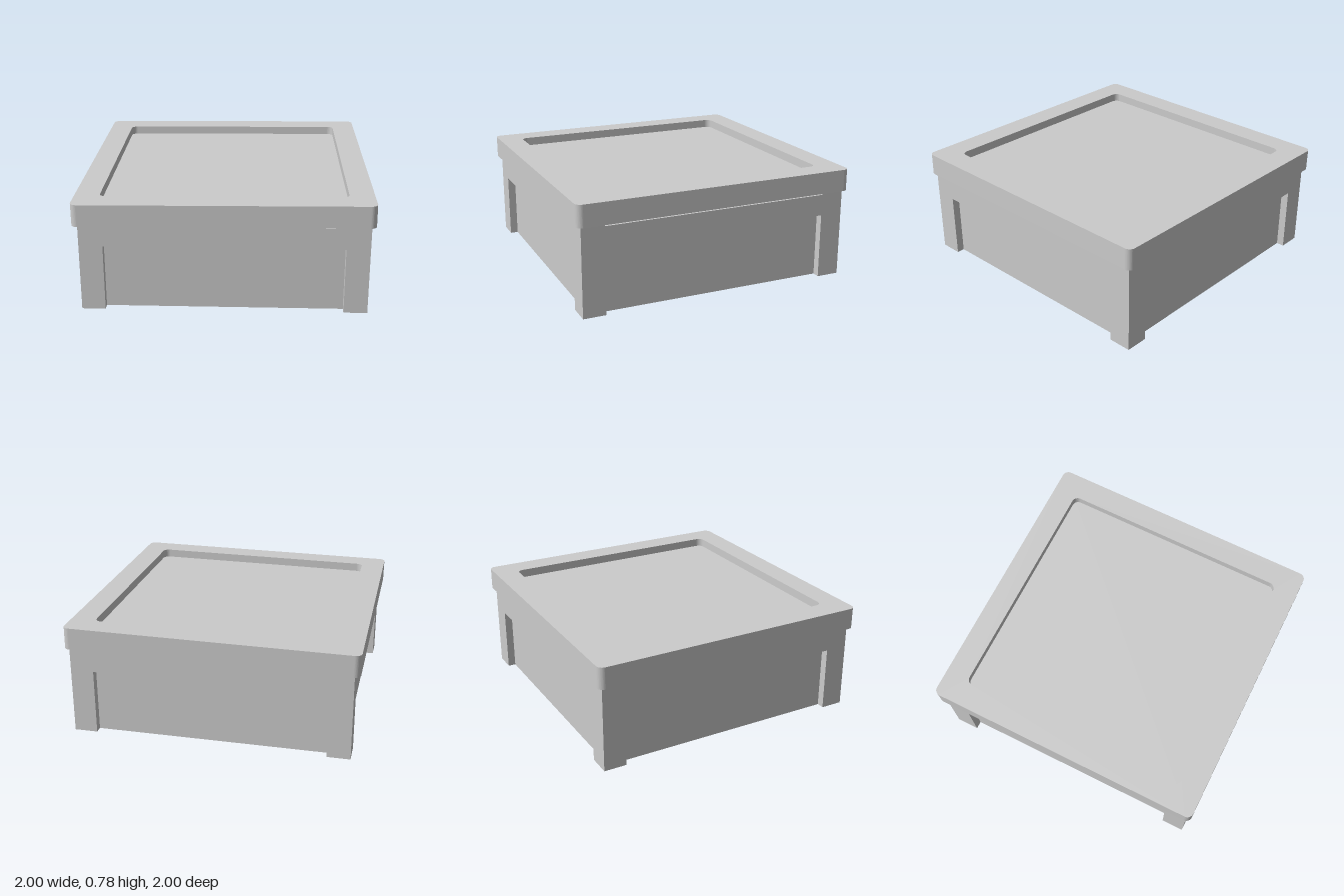
import * as THREE from 'three';

const material = new THREE.MeshStandardMaterial({ color: 0xcccccc });

function addBox(parent, name, size, position) {
  const mesh = new THREE.Mesh(new THREE.BoxGeometry(...size), material);
  mesh.name = name;
  mesh.position.set(...position);
  parent.add(mesh);
}

// Square outline with rounded corners, h = half width, r = corner radius
function roundedSquare(h, r, Type) {
  const p = new Type();
  p.absarc(h - r, h - r, r, 0, Math.PI / 2);
  p.absarc(-h + r, h - r, r, Math.PI / 2, Math.PI);
  p.absarc(-h + r, -h + r, r, Math.PI, Math.PI * 1.5);
  p.absarc(h - r, -h + r, r, Math.PI * 1.5, Math.PI * 2);
  p.closePath();
  return p;
}

export function createModel() {
  const model = new THREE.Group();
  model.name = 'lowTable';

  const base = new THREE.Group();
  base.name = 'base';
  base.position.x = 0.004;
  model.add(base);

  // Four square corner legs, reaching up to the tilted lid
  for (const sx of [-1, 1]) {
    for (const sz of [-1, 1]) {
      const h = sx > 0 ? 0.628 : 0.618;
      addBox(base, 'leg', [0.16, h, 0.16], [sx * 0.885, h / 2, sz * 0.885]);
    }
  }

  // On each side: an apron flush with the legs over a thin recessed panel
  for (let i = 0; i < 4; i++) {
    const side = new THREE.Group();
    side.name = 'side';
    side.rotation.y = (i * Math.PI) / 2;
    addBox(side, 'apron', [1.61, 0.15, 0.07], [0, 0.535, 0.93]);
    addBox(side, 'sidePanel', [1.61, 0.47, 0.004], [0, 0.235, 0.908]);
    base.add(side);
  }

  // Raised floor between the legs
  addBox(base, 'floor', [1.61, 0.03, 1.61], [0, 0.09, 0]);

  // Slightly tilted lid: rounded rim around a panel, hollow above and below
  const lid = new THREE.Group();
  lid.name = 'lid';
  lid.position.y = 0.619;
  lid.rotation.z = 0.0083;
  const outline = roundedSquare(0.999, 0.045, THREE.Shape);
  outline.holes.push(roundedSquare(0.83, 0.045, THREE.Path));
  const rimGeometry = new THREE.ExtrudeGeometry(outline, {
    depth: 0.153,
    bevelEnabled: false,
    curveSegments: 8,
  });
  rimGeometry.rotateX(-Math.PI / 2);
  const rim = new THREE.Mesh(rimGeometry, material);
  rim.name = 'lidRim';
  lid.add(rim);
  addBox(lid, 'lidPanel', [1.68, 0.04, 1.68], [0, 0.073, 0]);
  model.add(lid);

  return model;
}
